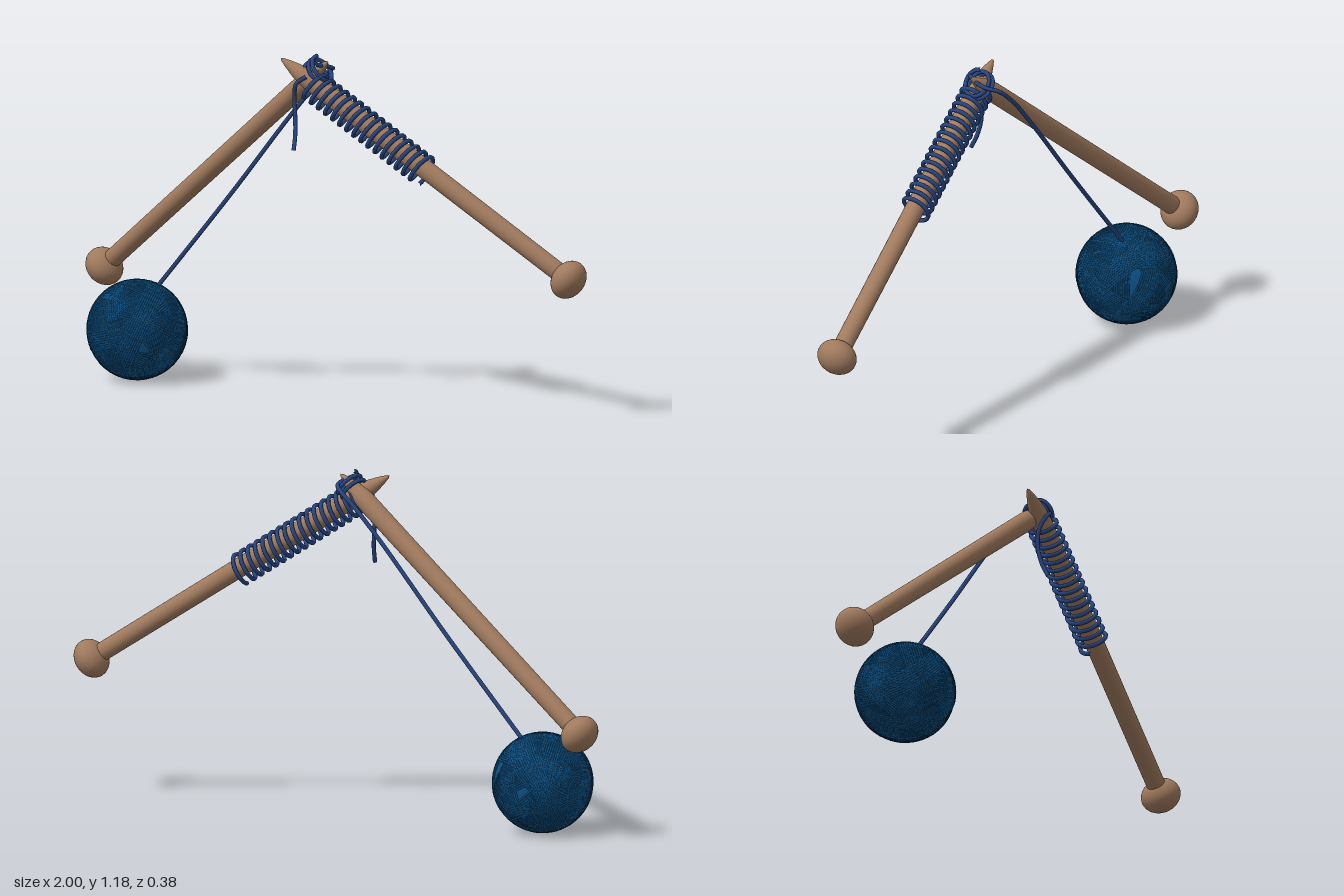
import * as THREE from 'three';
import { mergeGeometries } from 'three/addons/utils/BufferGeometryUtils.js';

const V = (x, y, z) => new THREE.Vector3(x, y, z);

export function createModel() {
  const wood = new THREE.MeshStandardMaterial({ name: 'wood', color: 0xa07a5e });
  const yarn = new THREE.MeshStandardMaterial({ name: 'yarn', color: 0x27457f });
  const ballBlue = new THREE.MeshStandardMaterial({ name: 'ballBlue', color: 0x0d4f82 });
  const model = new THREE.Group();
  const add = (name, geo, mat, parent = model) => {
    const mesh = new THREE.Mesh(geo, mat);
    mesh.name = name;
    parent.add(mesh);
    return mesh;
  };

  // Needle: turned shaft with a pointed tip, and a flattened knob at its foot
  const needle = (name, foot, tip) => {
    const group = new THREE.Group();
    group.name = name;
    const dir = tip.clone().sub(foot);
    const L = dir.length();
    const profile = [[0, 0], [0.032, 0], [0.034, L - 0.15], [0.032, L - 0.11],
      [0.025, L - 0.07], [0.014, L - 0.03], [0.006, L - 0.007], [0, L]]
      .map(([r, y]) => new THREE.Vector2(r, y));
    add('shaft', new THREE.LatheGeometry(profile, 24), wood, group);
    add('knob', new THREE.SphereGeometry(0.069, 28, 18), wood, group).scale.y = 0.8;
    group.position.copy(foot);
    group.quaternion.setFromUnitVectors(V(0, 1, 0), dir.normalize());
    model.add(group);
  };
  const footL = V(0.94, 0.475, 0.108), tipL = V(-0.137, 1.167, 0.14);
  const footR = V(-0.937, 0.37, -0.115), tipR = V(0.035, 1.165, 0.125);
  needle('leftNeedle', footL, tipL);
  needle('rightNeedle', footR, tipR);

  // Yarn strand through a list of points
  const strand = (name, pts, segs) =>
    add(name, new THREE.TubeGeometry(new THREE.CatmullRomCurve3(pts), segs, 0.0075, 7), yarn);

  // Points of a coil around a needle, between two distances from its tip
  const coil = (foot, tip, from, to, turns, radius, drop) => {
    const axis = foot.clone().sub(tip).normalize();
    const side = V(0, 1, 0).cross(axis).normalize();
    const up = axis.clone().cross(side).normalize();
    const pts = [];
    const n = Math.round(turns * 12);
    for (let i = 0; i <= n; i++) {
      const a = (i / 12) * Math.PI * 2;
      pts.push(tip.clone()
        .addScaledVector(axis, from + (to - from) * i / n)
        .addScaledVector(up, Math.cos(a) * (radius + 0.003) - drop)
        .addScaledVector(side, Math.sin(a) * radius));
    }
    return pts;
  };
  strand('castOnStitches', coil(footL, tipL, 0.13, 0.65, 16.5, 0.049, 0.007), 900);
  strand('workingLoops', coil(footR, tipR, 0.03, 0.085, 2.5, 0.044, 0.004), 120);

  // Strand running from the needles down to the ball
  strand('workingYarn', [V(0.0, 1.155, 0.15), V(0.022, 1.145, 0.11), V(0.024, 1.135, 0.07),
    V(0.0, 1.122, 0.036), V(-0.06, 1.07, 0.02), V(-0.16, 0.96, 0.01),
    V(-0.4, 0.67, -0.012), V(-0.7, 0.32, -0.037)], 90);

  // Loose tail hanging at the front
  strand('yarnTail', [V(-0.025, 1.115, 0.17), V(-0.06, 1.09, 0.175), V(-0.077, 1.04, 0.155),
    V(-0.077, 0.97, 0.15), V(-0.071, 0.91, 0.162), V(-0.066, 0.86, 0.184)], 40);

  // Ball of yarn: core wrapped with bundles of parallel rings in many directions
  const ball = new THREE.Group();
  ball.name = 'yarnBall';
  ball.position.set(-0.76, 0.177, -0.012);
  add('ballCore', new THREE.SphereGeometry(0.169, 48, 32), ballBlue, ball);
  const rings = [];
  const bundles = 16, perBundle = 9;
  for (let b = 0; b < bundles; b++) {
    const y = 1 - (b + 0.5) / bundles;
    const a = b * 2.39996;
    const s = Math.sqrt(1 - y * y);
    const dir = V(s * Math.cos(a), y, s * Math.sin(a));
    const q = new THREE.Quaternion().setFromUnitVectors(V(0, 0, 1), dir);
    const R = 0.1678 + 0.0018 * ((b * 7) % bundles) / bundles;
    const start = ((b * 5) % 7 - 3) * 0.022;
    for (let i = 0; i < perBundle; i++) {
      const d = start + (i - (perBundle - 1) / 2) * 0.0075;
      const ring = new THREE.TorusGeometry(Math.sqrt(R * R - d * d), 0.0036, 5, 48);
      ring.translate(0, 0, d);
      ring.applyQuaternion(q);
      rings.push(ring);
    }
  }
  add('ballWindings', mergeGeometries(rings), ballBlue, ball);
  model.add(ball);
  return model;
}
